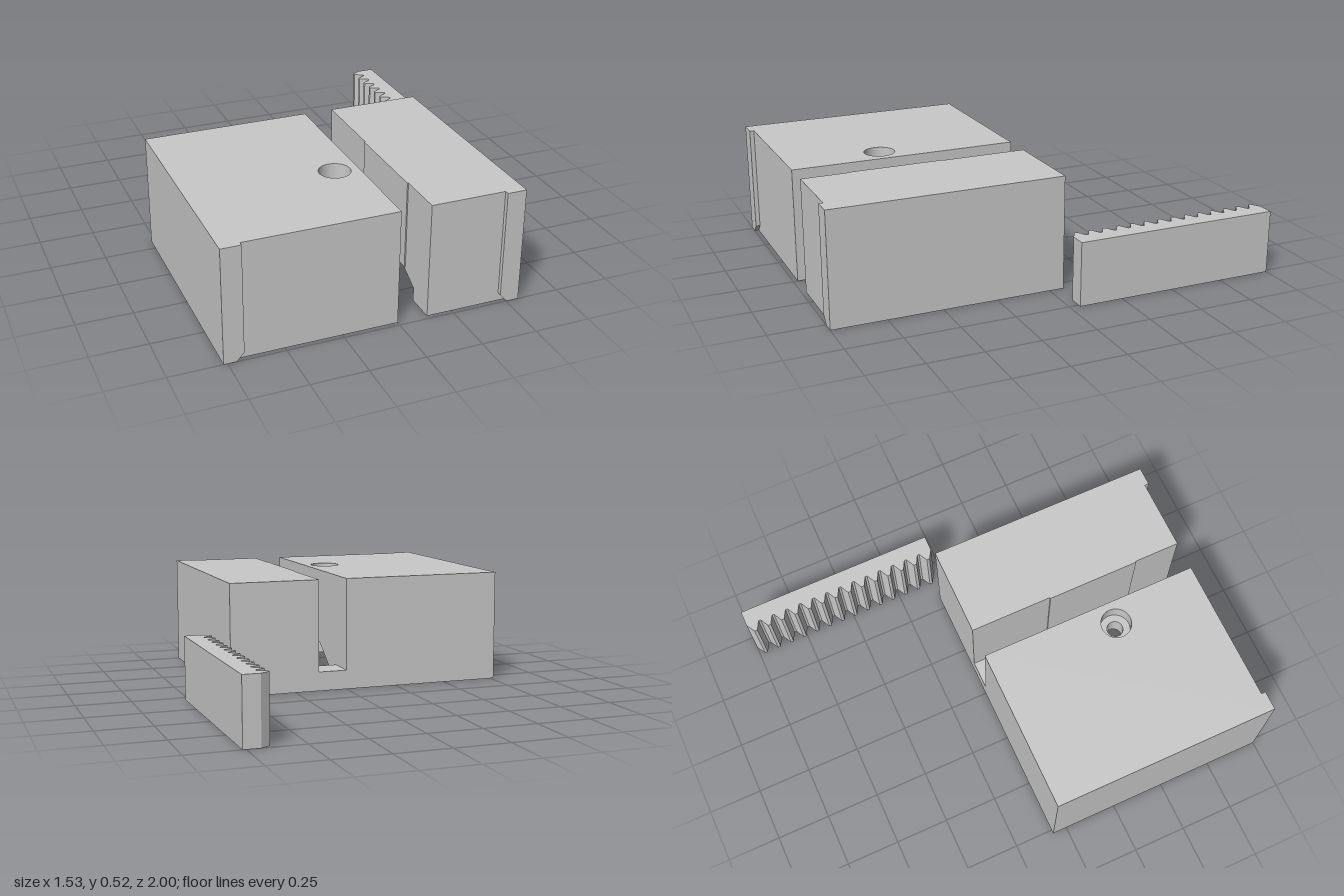
import * as THREE from 'three';

const steel = new THREE.MeshStandardMaterial({ color: 0xc9c9c9, side: THREE.DoubleSide });
steel.name = 'light grey';

// Block extents, and the vertical axis and radius of the turned cavity
const H = 0.522, BACK = -0.068, FRONT = 0.98, RIM = 0.06;
const AX = -0.105, AZ = 0.542, R = 0.388;
const V = (x, y) => new THREE.Vector2(x, y);

function add(group, name, geometry) {
  const mesh = new THREE.Mesh(geometry, steel);
  mesh.name = name;
  group.add(mesh);
  return mesh;
}

// Plan outline given as (x, z) points
const planShape = pts => new THREE.Shape(pts.map(p => V(p.x, -p.y)));
const extrudeUp = (shape, depth) =>
  new THREE.ExtrudeGeometry(shape, { depth, bevelEnabled: false, curveSegments: 24 }).rotateX(-Math.PI / 2);
const flat = (shape, y) => new THREE.ShapeGeometry(shape, 32).rotateX(-Math.PI / 2).translate(0, y, 0);

function circleHole(x, z, r) {
  const path = new THREE.Path();
  path.absarc(x, -z, r, 0, Math.PI * 2, true);
  return path;
}

// Angles on a ring of radius r that lie on one side of the wall at distance d from the axis
function ringAngles(r, d, side, n = 72) {
  const t = Math.acos(Math.min(1, d / r));
  const end = side < 0 ? Math.PI * 2 - t : -t;
  return Array.from({ length: n + 1 }, (_, i) => t + (end - t) * i / n);
}

// Subdivide the cavity profile so that the cut follows the cone
function refine(profile, n = 8) {
  const out = [profile[0]];
  for (let i = 1; i < profile.length; i++)
    for (let k = 1; k <= n; k++) out.push(profile[i - 1].clone().lerp(profile[i], k / n));
  return out;
}

// Turned surface trimmed by the wall
function cavity(profile, d, side) {
  const rings = profile.map(p => ringAngles(p.x, d, side).map(t =>
    [AX + p.x * Math.cos(t), p.y, AZ + p.x * Math.sin(t)]));
  const pos = [];
  for (let i = 0; i < rings.length - 1; i++) {
    const a = rings[i], b = rings[i + 1];
    for (let j = 0; j < a.length - 1; j++)
      pos.push(...a[j], ...b[j], ...a[j + 1], ...a[j + 1], ...b[j], ...b[j + 1]);
  }
  const g = new THREE.BufferGeometry();
  g.setAttribute('position', new THREE.Float32BufferAttribute(pos, 3));
  g.computeVertexNormals();
  return g;
}

function makeBlock(name, wallX, outerX, profile, details) {
  const block = new THREE.Group();
  block.name = name;
  const side = Math.sign(outerX - wallX), d = wallX - AX;
  const corners = [V(wallX, BACK), V(outerX, BACK), V(outerX, FRONT), V(wallX, FRONT)];
  const arc = ringAngles(R, d, side).map(t => V(AX + R * Math.cos(t), AZ + R * Math.sin(t)));

  // Bottom layer with the cavity rim, and the groove and pin hole where wanted
  let rim = arc;
  if (details) {
    const gx = -0.31, gz = 0.055, gr = 0.035;
    const edge = x => V(x, AZ - Math.sqrt(R * R - (x - AX) ** 2));
    const inGroove = p => p.y < AZ && Math.abs(p.x - gx) <= gr;
    const first = arc.findIndex(inGroove);
    const end = Array.from({ length: 13 }, (_, i) => {
      const t = Math.PI + Math.PI * i / 12;
      return V(gx + gr * Math.cos(t), gz + gr * Math.sin(t));
    });
    rim = [...arc.slice(0, first), edge(gx - gr), ...end, edge(gx + gr),
      ...arc.slice(first).filter(p => !inGroove(p))];
  }
  const base = planShape([...corners, ...rim]);
  if (details) base.holes.push(circleHole(-0.1, 0.075, 0.025));
  add(block, 'baseLayer', extrudeUp(base, RIM));

  // Upper body: underside, top, three outer walls
  add(block, 'underside', flat(planShape([...corners, ...arc]), RIM));
  const top = planShape(corners);
  if (details) top.holes.push(circleHole(AX, AZ, 0.07));
  add(block, 'top', flat(top, H));
  const h = H - RIM, y = RIM + h / 2, w = Math.abs(outerX - wallX), mid = (outerX + wallX) / 2;
  add(block, 'frontWall', new THREE.PlaneGeometry(w, h).translate(mid, y, FRONT));
  add(block, 'backWall', new THREE.PlaneGeometry(w, h).rotateY(Math.PI).translate(mid, y, BACK));
  add(block, 'outerWall', new THREE.PlaneGeometry(FRONT - BACK, h)
    .rotateY(side * Math.PI / 2).translate(outerX, y, (FRONT + BACK) / 2));

  // Inner wall with the cavity's cross-section cut out
  const fine = refine(profile);
  const cut = fine.filter(p => p.x >= d - 1e-6)
    .map(p => V(Math.sqrt(Math.max(0, p.x * p.x - d * d)), p.y));
  const wall = new THREE.Shape([
    V(BACK, RIM), V(BACK, H), V(FRONT, H), V(FRONT, RIM),
    ...cut.map(p => V(AZ + p.x, p.y)),
    ...cut.slice().reverse().filter(p => p.x > 1e-4).map(p => V(AZ - p.x, p.y)),
  ]);
  const wallGeo = new THREE.ShapeGeometry(wall).rotateY(-Math.PI / 2).translate(wallX, 0, 0);
  if (side < 0) {
    // turn the face towards the gap
    const ix = wallGeo.index.array;
    for (let i = 0; i < ix.length; i += 3) [ix[i], ix[i + 1]] = [ix[i + 1], ix[i]];
    wallGeo.computeVertexNormals();
  }
  add(block, 'innerWall', wallGeo);
  add(block, 'cavity', cavity(fine, d, side));

  // Front corner lip, chamfered at the foot
  const lip = new THREE.Shape([
    V(outerX, 0), V(outerX - side * 0.055, 0), V(outerX - side * 0.088, 0.036),
    V(outerX - side * 0.088, H), V(outerX, H),
  ]);
  add(block, 'frontLip', new THREE.ExtrudeGeometry(lip, { depth: 0.02, bevelEnabled: false }).translate(0, 0, FRONT));
  return block;
}

// Toothed bar
function makeRack() {
  const pts = [V(0.765, -0.045), V(0.765, -1), V(0.69, -1)];
  const pitch = 0.0685, tip = 0.648, root = 0.69;
  for (let i = 0; i < 14; i++) {
    const z = -0.968 + i * pitch;
    if (i > 0) pts.push(V(root, z - 0.029));
    pts.push(V(tip, z - 0.007), V(tip, z + 0.007));
    if (i < 13) pts.push(V(root, z + 0.029));
  }
  pts.push(V(0.69, -0.045));
  return extrudeUp(planShape(pts), 0.292);
}

export function createModel() {
  const model = new THREE.Group();
  model.name = 'clampBlockAndRack';

  // Wide block: stepped cavity, screw hole and counterbore
  model.add(makeBlock('wideBlock', 0, -0.767, [
    V(R, RIM), V(0.215, 0.185), V(0.215, 0.21), V(0.165, 0.225), V(0.165, 0.36),
    V(0.105, 0.36), V(0.037, 0.36), V(0.037, 0.45), V(0.07, 0.45), V(0.07, H),
  ], true));

  // Narrow block: only the outer part of the cone reaches it
  model.add(makeBlock('narrowBlock', 0.135, 0.559, [V(R, RIM), V(0.24, 0.167)], false));

  // Shallow pad on the narrow block's inner wall
  add(model, 'clampPad', new THREE.BoxGeometry(0.005, H - 0.12, 0.44).translate(0.1325, (H + 0.12) / 2, AZ));

  add(model, 'bridge', new THREE.BoxGeometry(0.135, 0.09, 0.148).translate(0.0675, 0.045, 0.006));
  add(model, 'rack', makeRack());
  return model;
}
